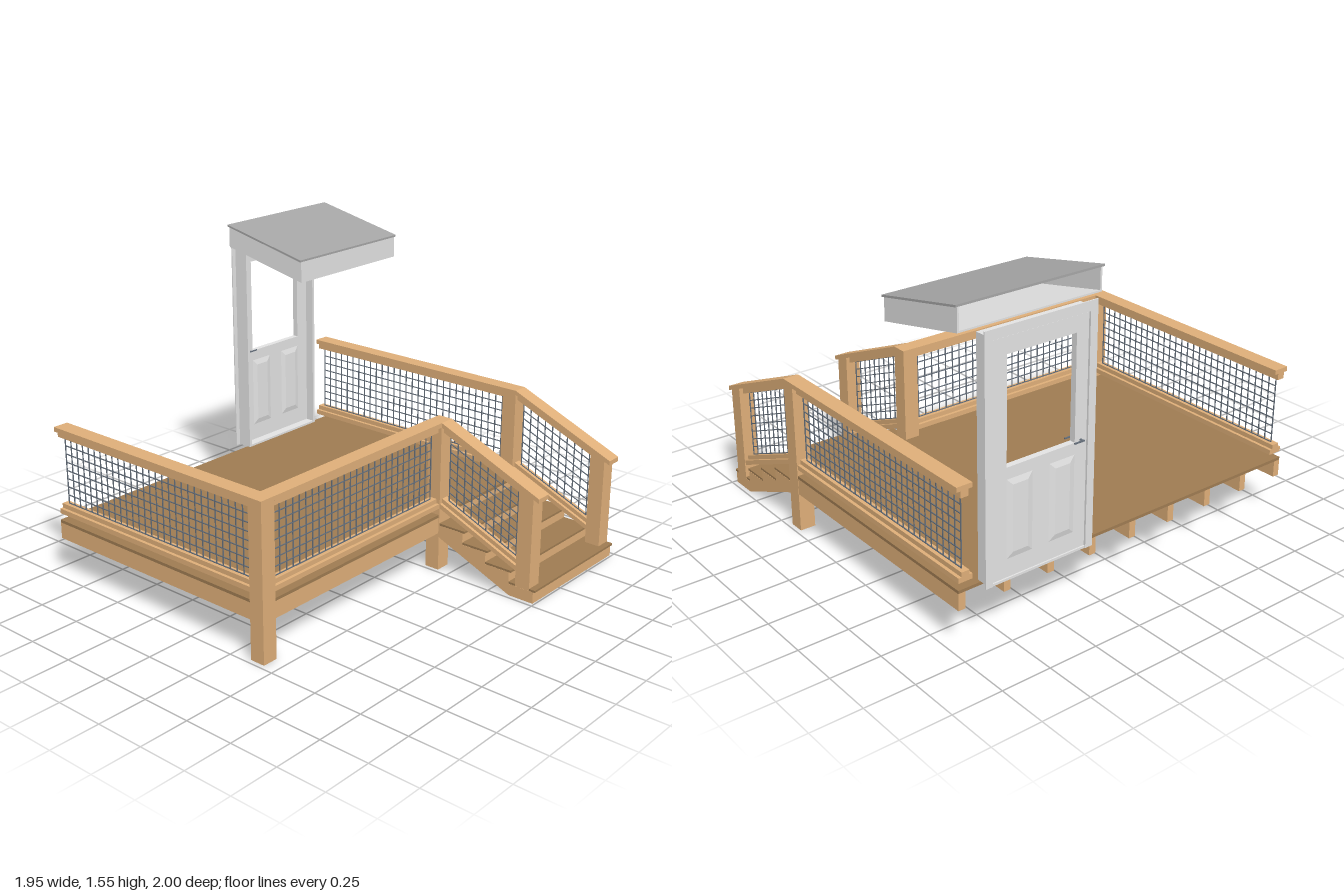
import * as THREE from 'three';
import { mergeGeometries } from 'three/addons/utils/BufferGeometryUtils.js';

const mat = (name, color) => {
  const m = new THREE.MeshStandardMaterial({ color });
  m.name = name;
  return m;
};

// Box geometry from min/max extents
function boxGeo(x0, x1, y0, y1, z0, z1) {
  return new THREE.BoxGeometry(x1 - x0, y1 - y0, z1 - z0)
    .translate((x0 + x1) / 2, (y0 + y1) / 2, (z0 + z1) / 2);
}

// Slide vertices up or down in proportion to x
function shear(geo, slope) {
  const p = geo.attributes.position;
  for (let i = 0; i < p.count; i++) p.setY(i, p.getY(i) + slope * p.getX(i));
  geo.computeVertexNormals();
  return geo;
}

// Side profile given as [z, y] points, extruded from x0 to x1
function sideProfile(points, x0, x1) {
  const shape = new THREE.Shape(points.map(([z, y]) => new THREE.Vector2(z, y)));
  return new THREE.ExtrudeGeometry(shape, { depth: x1 - x0, bevelEnabled: false })
    .rotateY(-Math.PI / 2).translate(x1, 0, 0);
}

function rectPath(Type, x0, x1, y0, y1) {
  const s = new Type();
  s.moveTo(x0, y0);
  s.lineTo(x1, y0);
  s.lineTo(x1, y1);
  s.lineTo(x0, y1);
  s.closePath();
  return s;
}

export function createModel() {
  const wood = mat('wood', 0xdfaf79);
  const boards = mat('deckBoards', 0x9f7c52);
  const steel = mat('steel', 0x66707c);
  const doorPaint = mat('doorPaint', 0xe3e3e3);
  const roofing = mat('roofing', 0xa6a6a6);

  const root = new THREE.Group();
  root.name = 'deckWithDoor';
  const add = (name, geo, m, parent = root) => {
    const mesh = new THREE.Mesh(geo, m);
    mesh.name = name;
    parent.add(mesh);
    return mesh;
  };
  const box = (name, m, ...e) => add(name, boxGeo(...e), m);

  // Deck floor, front rim and joists
  box('deckFloor', boards, -0.974, 0.974, 0.28, 0.295, -0.924, 0.429);
  box('frontRim', wood, -0.974, 0.974, 0.197, 0.28, 0.395, 0.429);
  for (let i = 0; i < 9; i++) {
    const x = -0.956 + i * (1.912 / 8);
    box('joist', wood, x - 0.018, x + 0.018, 0.197, 0.28, -0.924, 0.395);
  }

  // Corner and stair-top posts
  for (const x of [-0.936, 0.312, 0.936])
    box('post', wood, x - 0.04, x + 0.04, 0, 0.775, 0.355, 0.433);

  // Railing along local +x; the cap may run past the panel
  function railing(name, length, capLength, slope, x, z, angle) {
    const g = new THREE.Group();
    g.name = name;
    g.position.set(x, 0, z);
    g.rotation.y = angle;
    root.add(g);
    const rail = (n, len, y0, y1, w) =>
      add(n, shear(boxGeo(0, len, y0, y1, -w, w), slope), wood, g);
    rail('capRail', capLength, 0.752, 0.775, 0.04);
    rail('upperRail', length, 0.72, 0.752, 0.02);
    rail('lowerRail', length, 0.353, 0.376, 0.02);
    rail('bottomRail', length, 0.328, 0.353, 0.036);
    // Wire grid
    const t = 0.0022, inset = 0.028, wires = [];
    const n = Math.round((length - 2 * inset) / 0.0425);
    for (let i = 0; i <= n; i++) {
      const u = inset + (length - 2 * inset) * i / n;
      wires.push(boxGeo(u - t, u + t, 0.37, 0.725, -t, t));
    }
    for (let j = 0; j <= 8; j++) {
      const y = 0.378 + j * 0.0425;
      wires.push(boxGeo(inset, length - inset, y - t, y + t, -t, t));
    }
    add('wireMesh', shear(mergeGeometries(wires), slope), steel, g);
  }
  railing('frontRailing', 1.168, 1.168, 0, -0.896, 0.394, 0);
  for (const x of [-0.936, 0.936])
    railing('sideRailing', 1.279, 1.279, 0, x, 0.355, Math.PI / 2);
  for (const x of [0.312, 0.936]) {
    railing('stairRailing', 0.455, 0.565, -0.42, x, 0.433, -Math.PI / 2);
    // Post with its top cut to the slope of the cap
    add('stairPost', sideProfile(
      [[0.888, 0.06], [0.968, 0.06], [0.968, 0.528], [0.888, 0.562]],
      x - 0.04, x + 0.04), wood);
  }

  // Stair body and treads
  const steps = [[1, 0.07], [0.86, 0.13], [0.722, 0.19], [0.584, 0.25]];
  const profile = [[0.433, 0.175], [0.855, 0], [0.99, 0]];
  steps.forEach(([z, y], i) => {
    const back = i < 3 ? steps[i + 1][0] - 0.01 : 0.433;
    profile.push([z - 0.01, y - 0.011], [back, y - 0.011]);
  });
  add('stairBody', sideProfile(profile, 0.273, 0.975), wood);
  steps.forEach(([z, y]) =>
    box('tread', boards, 0.274, 0.974, y - 0.011, y, z - 0.153, z));

  // Door slab with window opening and raised panels
  const slab = rectPath(THREE.Shape, 0.341, 0.84, 0.308, 1.39);
  slab.holes.push(rectPath(THREE.Path, 0.405, 0.765, 0.82, 1.315));
  add('doorSlab', new THREE.ExtrudeGeometry(slab, { depth: 0.03, bevelEnabled: false })
    .translate(0, 0, -0.98), doorPaint);
  for (const [a, b] of [[0.405, 0.54], [0.63, 0.765]]) {
    const field = rectPath(THREE.Shape, a + 0.028, b - 0.028, 0.423, 0.737);
    add('doorPanel', new THREE.ExtrudeGeometry(field, {
      depth: 0.03, bevelThickness: 0.007, bevelSize: 0.028, bevelSegments: 1
    }).translate(0, 0, -0.98), doorPaint);
  }

  // Door jambs, threshold and back casing
  for (const [a, b] of [[0.324, 0.339], [0.842, 0.857]])
    box('doorJamb', doorPaint, a, b, 0.295, 1.41, -0.985, -0.905);
  box('doorHead', doorPaint, 0.339, 0.842, 1.393, 1.41, -0.985, -0.905);
  box('threshold', doorPaint, 0.339, 0.842, 0.295, 0.306, -0.985, -0.905);
  for (const [a, b] of [[0.3, 0.339], [0.842, 0.88]])
    box('doorCasing', doorPaint, a, b, 0.295, 1.44, -0.988, -0.982);
  box('headCasing', doorPaint, 0.339, 0.842, 1.395, 1.44, -0.988, -0.982);

  // Lever handles on both faces
  const spindle = add('handleSpindle', new THREE.CylinderGeometry(0.005, 0.005, 0.064, 12), steel);
  spindle.rotation.x = Math.PI / 2;
  spindle.position.set(0.373, 0.826, -0.965);
  for (const z of [-0.997, -0.933])
    box('handleLever', steel, 0.366, 0.42, 0.823, 0.829, z - 0.003, z + 0.003);

  // Sloped canopy with a soffit, open at the back
  const canopy = new THREE.Group();
  canopy.name = 'canopy';
  canopy.position.set(0, 1.433, -0.418);
  canopy.rotation.y = Math.PI / 2;
  root.add(canopy);
  const part = (name, m, ...e) => add(name, shear(boxGeo(...e), 0.213), m, canopy);
  part('canopyRoof', roofing, 0, 0.505, 0, 0.01, 0.212, 0.967);
  part('canopyFront', doorPaint, 0.004, 0.014, -0.108, 0, 0.223, 0.959);
  for (const x of [0.223, 0.95])
    part('canopySide', doorPaint, 0.014, 0.503, -0.108, 0, x, x + 0.009);
  part('canopySoffit', doorPaint, 0.014, 0.503, -0.108, -0.1, 0.232, 0.95);

  return root;
}
